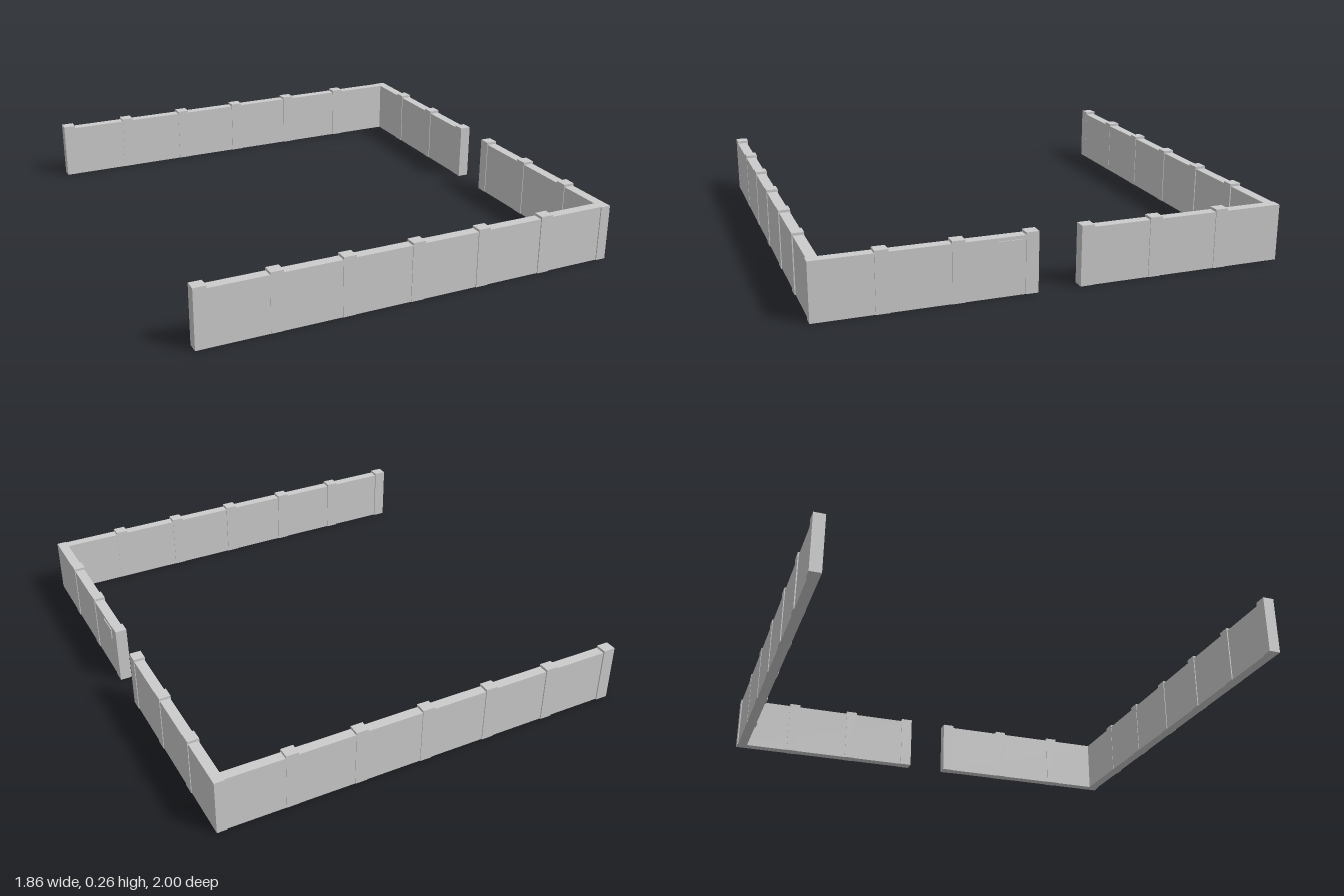
import * as THREE from 'three';

const WALL_H = 0.245, WALL_T = 0.044;
const POST_H = 0.256, POST_W = 0.054, POST_T = 0.05;
const SIDE_X = 0.902, LONG_Z = 0.973;

export function createModel() {
  const model = new THREE.Group();
  const material = new THREE.MeshStandardMaterial({ color: 0xcccccc, flatShading: true });

  // Box from its min and max corners
  function box(name, [x0, y0, z0], [x1, y1, z1]) {
    const mesh = new THREE.Mesh(new THREE.BoxGeometry(x1 - x0, y1 - y0, z1 - z0), material);
    mesh.name = name;
    mesh.position.set((x0 + x1) / 2, (y0 + y1) / 2, (z0 + z1) / 2);
    model.add(mesh);
  }

  // Post standing on the ground, centred on (x, z)
  function post(name, x, z, w, d) {
    box(name, [x - w / 2, 0, z - d / 2], [x + w / 2, POST_H, z + d / 2]);
  }

  for (const s of [1, -1]) {
    const side = s > 0 ? 'front' : 'back';

    // Long wall, open at its -x end
    const z = s * LONG_Z;
    box(side + 'Wall', [-0.928, 0, z - WALL_T / 2], [SIDE_X - WALL_T / 2, WALL_H, z + WALL_T / 2]);
    for (let i = 0; i < 6; i++) {
      const x = -0.902 + i * 0.301;
      post(side + 'WallPost', x, z + 0.003 * x, POST_W, POST_T);
    }

    // Half of the gate wall, with the opening in the middle
    const zs = [s * 0.094, s].sort((a, b) => a - b);
    box(side + 'GateWall', [SIDE_X - WALL_T / 2, 0, zs[0]], [SIDE_X + WALL_T / 2, WALL_H, zs[1]]);
    for (let i = 0; i < 3; i++) {
      post(side + 'GatePost', SIDE_X, s * (0.118 + i * 0.302), POST_T, POST_W);
    }
  }

  // Small plate beside the opening, on the outer face
  box('gatePlate', [SIDE_X, 0.182, 0.161], [SIDE_X + WALL_T / 2 + 0.004, 0.231, 0.258]);

  return model;
}
